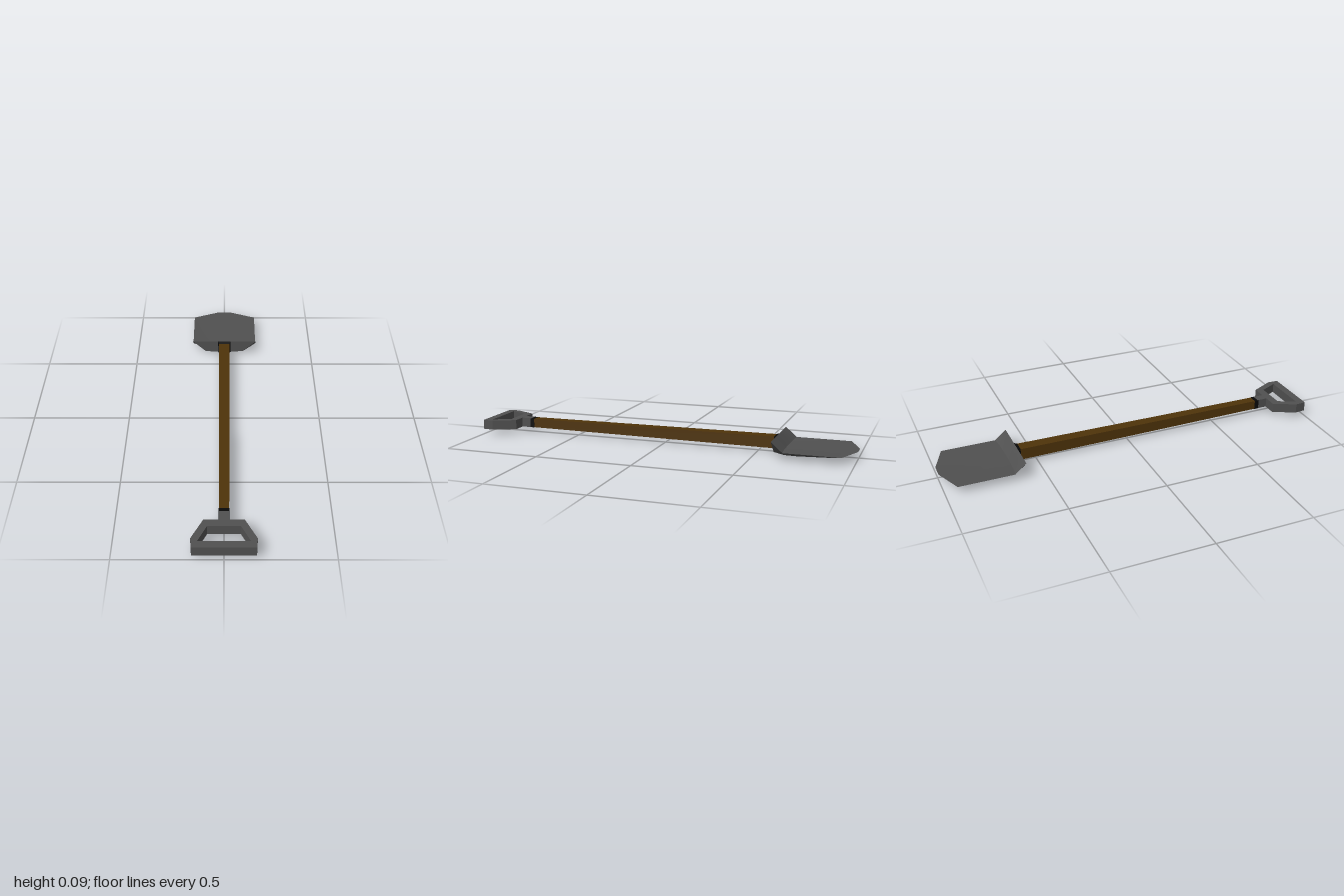
import * as THREE from 'three';
import { toCreasedNormals } from 'three/addons/utils/BufferGeometryUtils.js';

const mat = (name, color) => {
  const m = new THREE.MeshStandardMaterial({ color });
  m.name = name;
  return m;
};

// Square bar along z that tapers from half-size r0 at z0 to r1 at z1
function taperedBar(name, z0, z1, r0, r1, y, material) {
  const g = new THREE.BoxGeometry(2, 2, 1);
  const p = g.attributes.position;
  for (let i = 0; i < p.count; i++) {
    const back = p.getZ(i) < 0;
    const r = back ? r0 : r1;
    p.setXYZ(i, p.getX(i) * r, y + p.getY(i) * r, back ? z0 : z1);
  }
  g.computeVertexNormals();
  const mesh = new THREE.Mesh(g, material);
  mesh.name = name;
  return mesh;
}

// Mirrors the right half of an outline or cross-section
const mirrored = (half) => [...half, ...half.slice().reverse().map(([x, ...rest]) => [-x, ...rest])];

// Scoop blade: a dished top skin and a rounded belly meeting at the rim
function bladeGeometry() {
  const lipCorner = [0.18, 0.089, -0.6];
  const tip = [[0.18, 0.039, -0.94], [0.12, 0.039, -0.965], [0.035, 0.039, -1]];
  const top = [
    [lipCorner, [0.12, 0.089, -0.6], [0.035, 0.089, -0.6]],
    [[0.18, 0.039, -0.658], [0.12, 0.035, -0.65], [0.035, 0.033, -0.647]],
    [[0.18, 0.039, -0.72], [0.12, 0.035, -0.72], [0.035, 0.033, -0.72]],
    [[0.18, 0.039, -0.88], [0.12, 0.037, -0.88], [0.035, 0.035, -0.88]],
    tip,
  ].map(mirrored);
  const belly = [
    [lipCorner, [0.108, 0.023, -0.6], [0.035, 0.017, -0.6]],
    [[0.18, 0.039, -0.658], [0.12, 0.015, -0.655], [0.035, 0.009, -0.655]],
    [[0.18, 0.039, -0.72], [0.12, 0.014, -0.72], [0.035, 0, -0.72]],
    [[0.18, 0.039, -0.88], [0.12, 0.02, -0.88], [0.035, 0.012, -0.88]],
    tip,
  ].map(mirrored);

  const out = [];
  const quad = (a, b, c, d) => out.push(...a, ...b, ...c, ...a, ...c, ...d);
  for (let j = 0; j < 5; j++) {
    for (let i = 0; i < 4; i++) {
      quad(top[i][j], top[i + 1][j], top[i + 1][j + 1], top[i][j + 1]);
      quad(belly[i][j + 1], belly[i + 1][j + 1], belly[i + 1][j], belly[i][j]);
    }
    // Upright back wall
    quad(belly[0][j], top[0][j], top[0][j + 1], belly[0][j + 1]);
  }
  const g = new THREE.BufferGeometry();
  g.setAttribute('position', new THREE.Float32BufferAttribute(out, 3));
  return toCreasedNormals(g, 0.5);
}

export function createModel() {
  const steel = mat('dark steel', 0x505050);
  const wood = mat('brown wood', 0x4e3309);
  const black = mat('black collar', 0x090909);
  const model = new THREE.Group();
  model.name = 'shovel';
  const axis = 0.052;

  const blade = new THREE.Mesh(bladeGeometry(), steel);
  blade.name = 'blade';

  // D-shaped grip with its neck, drawn in x and z and extruded upward
  const outline = mirrored([
    [0.022, 0.775], [0.022, 0.83], [0.093, 0.83], [0.148, 0.945], [0.144, 1],
  ]);
  const hole = mirrored([[0.117, 0.96], [0.075, 0.87]]);
  const toPoints = (pts) => pts.map(([x, z]) => new THREE.Vector2(x, -z));
  const shape = new THREE.Shape(toPoints(outline));
  shape.holes.push(new THREE.Path(toPoints(hole)));
  const gripGeometry = new THREE.ExtrudeGeometry(shape, { depth: 0.05, bevelEnabled: false });
  gripGeometry.rotateX(-Math.PI / 2).translate(0, 0.027, 0);
  const grip = new THREE.Mesh(gripGeometry, steel);
  grip.name = 'grip';

  model.add(
    blade,
    grip,
    taperedBar('shaft', -0.588, 0.76, 0.03, 0.0235, axis, wood),
    taperedBar('bladeCollar', -0.601, -0.582, 0.0355, 0.0295, axis, black),
    taperedBar('gripCollar', 0.757, 0.78, 0.0245, 0.0245, axis, black),
  );
  return model;
}
